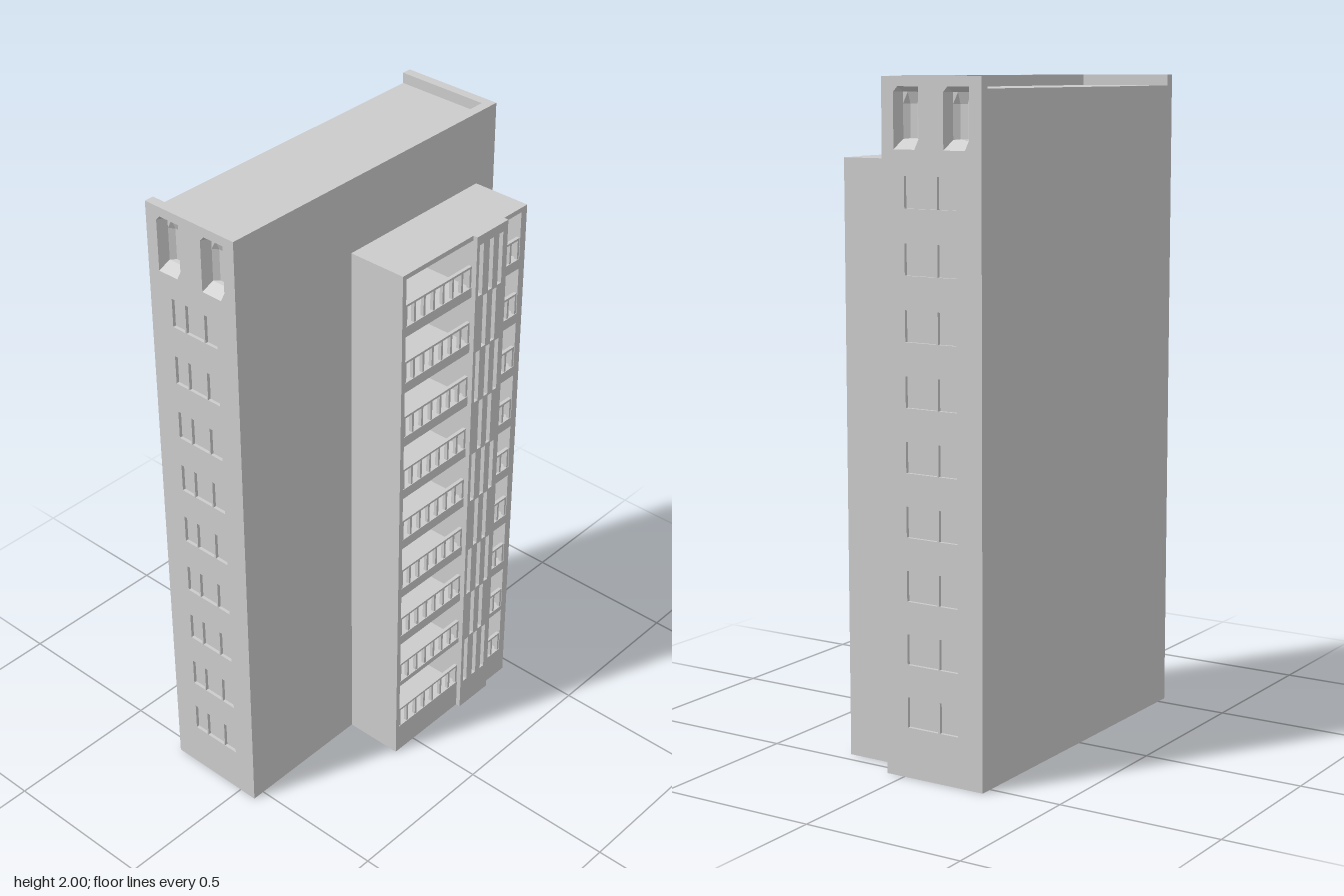
import * as THREE from 'three';

const mat = new THREE.MeshStandardMaterial({ color: 0xcccccc, flatShading: true, side: THREE.DoubleSide });
const FLOORS = 9, PITCH = 0.1875, SKIN = 0.012;

// main block and annex extents
const X0 = -0.27, X1 = 0.06, X2 = 0.25, X3 = 0.265, Z = 0.54, ROOF = 1.967;
const AZ0 = -0.46, AZ1 = 0.085, AH = 1.77;
const PZ0 = -0.355, PZ1 = -0.217;

function add(parent, name, geometry) {
  const mesh = new THREE.Mesh(geometry, mat);
  mesh.name = name;
  parent.add(mesh);
  return mesh;
}

// box given by its min and max corners
function box(parent, name, x0, x1, y0, y1, z0, z1) {
  const g = new THREE.BoxGeometry(x1 - x0, y1 - y0, z1 - z0);
  g.translate((x0 + x1) / 2, (y0 + y1) / 2, (z0 + z1) / 2);
  return add(parent, name, g);
}

function rect(Type, [u0, u1, v0, v1]) {
  const r = new Type();
  r.moveTo(u0, v0);
  r.lineTo(u1, v0);
  r.lineTo(u1, v1);
  r.lineTo(u0, v1);
  r.closePath();
  return r;
}

// upright slab with rectangular holes, outer face on local z = 0
function wall(parent, name, outline, holes, depth) {
  const s = rect(THREE.Shape, outline);
  holes.forEach((h) => s.holes.push(rect(THREE.Path, h)));
  const g = new THREE.ExtrudeGeometry(s, { depth, bevelEnabled: false });
  g.translate(0, 0, -depth);
  return add(parent, name, g);
}

// splayed niche: three nested rectangles stepping inwards
function niche(parent, rings) {
  const g = new THREE.PlaneGeometry(1, 1, 5, 5);
  const p = g.attributes.position;
  for (let j = 0; j < 6; j++) {
    for (let i = 0; i < 6; i++) {
      const k = Math.min(i, j, 5 - i, 5 - j);
      const ri = rings[Math.min(i, 5 - i)], rj = rings[Math.min(j, 5 - j)];
      p.setXYZ(j * 6 + i, i < 3 ? ri[0] : ri[1], j < 3 ? rj[3] : rj[2], -rings[k][4]);
    }
  }
  const flat = g.toNonIndexed();
  flat.computeVertexNormals();
  add(parent, 'topNiche', flat);
}

// end wall with stacked shallow windows and two tall niches near the roof
function endWall(name, panes, flip) {
  const group = new THREE.Group();
  group.name = name;
  const side = (a, b) => (flip ? [-b, -a] : [a, b]);
  const holes = [], niches = [];
  for (let i = 0; i < FLOORS; i++) {
    const y = 0.15 + i * 0.186;
    panes.forEach(([a, b]) => holes.push([...side(a, b), y, y + 0.09]));
  }
  for (const c of [-0.188, -0.022]) {
    const ring = (w, y0, y1, d) => [...side(c - w, c + w), y0, y1, d];
    const rings = [ring(0.042, 1.8, 1.972, 0), ring(0.028, 1.828, 1.957, 0.028), ring(0.012, 1.83, 1.925, 0.04)];
    niches.push(rings);
    holes.push(rings[0].slice(0, 4));
  }
  wall(group, 'endWallPanel', [...side(X0, X1), 0, 2], holes, SKIN);
  niches.forEach((r) => niche(group, r));
  // window glass
  for (let i = 0; i < FLOORS; i++) {
    const y = 0.15 + i * 0.186;
    const [a, b] = side(-0.19, -0.012);
    box(group, 'windowPane', a, b, y - 0.003, y + 0.093, -0.016, -0.01);
  }
  group.position.z = flip ? -Z : Z;
  if (flip) group.rotation.y = Math.PI;
  return group;
}

function mainBlock() {
  const g = new THREE.Group();
  g.name = 'mainBlock';
  g.add(endWall('frontWall', [[-0.187, -0.14], [-0.135, -0.067], [-0.062, -0.015]], false));
  g.add(endWall('backWall', [[-0.187, -0.125], [-0.119, -0.015]], true));
  const zi = Z - SKIN;
  box(g, 'rightWall', X0, X0 + 0.005, 0, ROOF, -zi, zi);
  box(g, 'leftWall', X1 - 0.005, X1, 0, 2, -zi, zi);
  box(g, 'roof', X0, X1 - 0.005, ROOF - 0.004, ROOF, -0.51, 0.51);
  // parapet on three sides
  box(g, 'sideParapet', 0.03, X1 - 0.005, ROOF, 2, -0.51, 0.51);
  box(g, 'frontParapet', X0, X1 - 0.005, ROOF, 2, 0.51, zi);
  box(g, 'backParapet', X0, X1 - 0.005, ROOF, 2, -zi, -0.51);
  return g;
}

// railing of square openings between posts
function railing(parent, z0, z1, y, bays) {
  const h = 0.07, step = (z1 - z0) / bays;
  box(parent, 'handrail', X2 - 0.013, X2 - 0.002, y + h - 0.007, y + h, z0, z1);
  for (let k = 0; k <= bays; k++) {
    const c = Math.min(Math.max(z0 + k * step, z0 + 0.004), z1 - 0.004);
    box(parent, 'railPost', X2 - 0.013, X2 - 0.002, y, y + h - 0.007, c - 0.004, c + 0.004);
  }
}

function annex() {
  const g = new THREE.Group();
  g.name = 'balconyWing';
  const bays = [[PZ1, 0.07, 7], [-0.435, PZ0, 2]];
  const holes = [];
  let below = 0.085;
  for (let i = 0; i < FLOORS; i++) {
    const y = 0.1 + i * PITCH, top = y + (i ? 0.155 : 0.17);
    // floor slab, openings, railings and the window behind
    box(g, 'balconySlab', X1, X2 - 0.01, below, y, AZ0 + 0.02, AZ1 - 0.01);
    for (const [z0, z1, n] of bays) {
      holes.push([-z1, -z0, y, top]);
      railing(g, z0, z1, y, n);
    }
    box(g, 'balconyWindow', X1, X1 + 0.006, y + 0.055, y + 0.145, -0.05, 0.045);
    below = top;
  }
  const facade = wall(g, 'balconyFacade', [-AZ1, -AZ0, 0, AH], holes, 0.015);
  facade.position.x = X2;
  facade.rotation.y = Math.PI / 2;
  box(g, 'wingRoof', X1, X2 - 0.01, below, AH, AZ0 + 0.02, AZ1 - 0.01);
  box(g, 'wingFrontWall', X1, X2 - 0.005, 0, AH, 0.07, AZ1);
  box(g, 'wingBackWall', X1, X2 - 0.005, 0, AH, AZ0, -0.435);
  box(g, 'pierCore', X1, X2 - 0.005, 0.085, AH - 0.005, PZ0, PZ1);

  // projecting pier with alternating rows of three and two slots
  const slots = [];
  for (let i = 0; i < FLOORS; i++) {
    const y = 0.1 + i * 0.1835;
    const centres = i % 2 ? [-0.262, -0.304] : [-0.238, -0.283, -0.325];
    centres.forEach((c) => slots.push([-c - 0.009, -c + 0.009, y + 0.003, y + (i === 8 ? 0.172 : 0.18)]));
  }
  const pier = wall(g, 'slottedPier', [-PZ1, -PZ0, 0, AH], slots, X3 - X2);
  pier.position.x = X3;
  pier.rotation.y = Math.PI / 2;
  return g;
}

export function createModel() {
  const model = new THREE.Group();
  model.name = 'towerBlock';
  model.add(mainBlock(), annex());
  return model;
}
